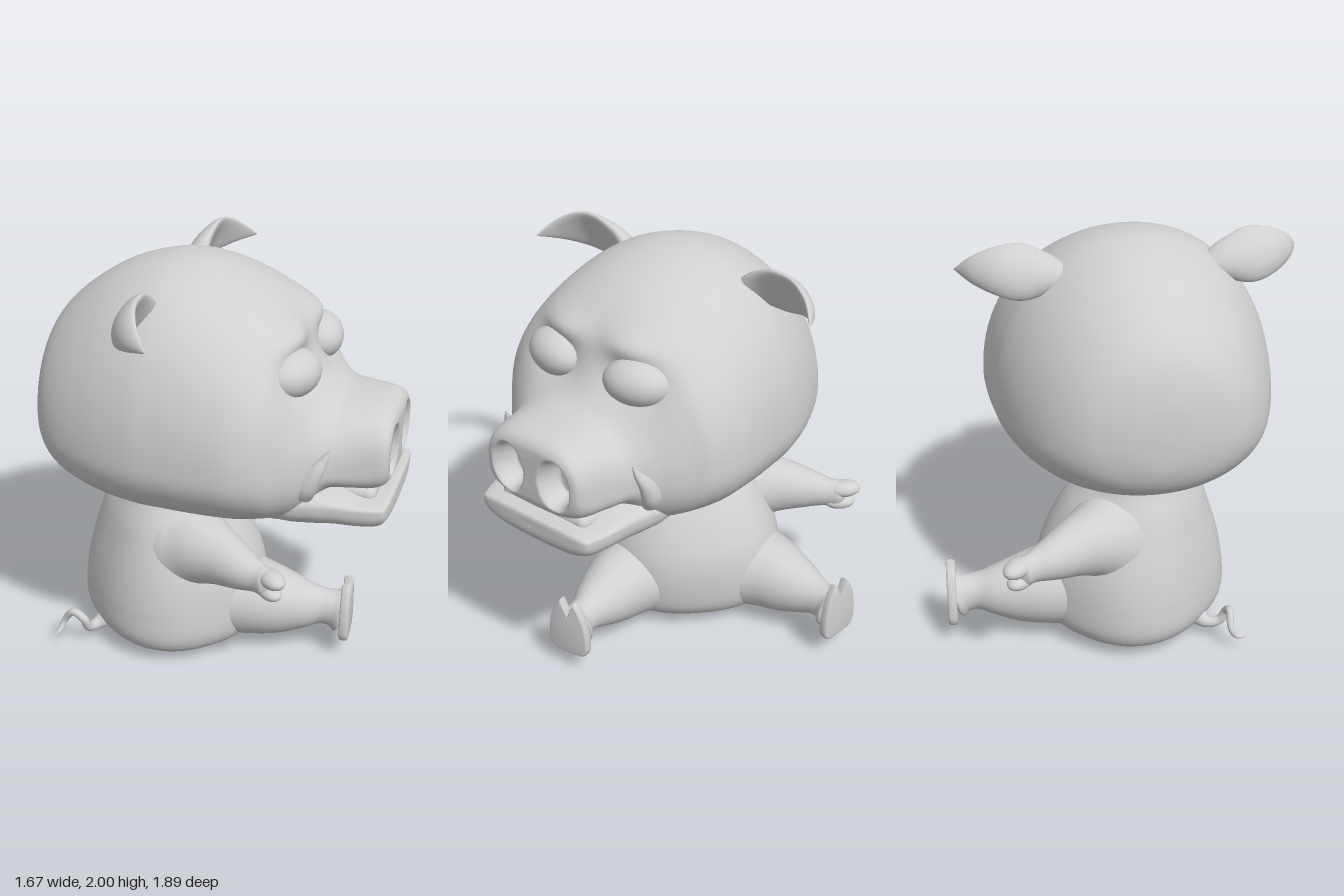
import * as THREE from 'three';
import { toCreasedNormals } from 'three/addons/utils/BufferGeometryUtils.js';
import { RoundedBoxGeometry } from 'three/addons/geometries/RoundedBoxGeometry.js';

const clay = new THREE.MeshStandardMaterial({ color: 0xd0d0d0 });
clay.name = 'light grey clay';

const add = (parent, name, geometry, x = 0, y = 0, z = 0) => {
  const mesh = new THREE.Mesh(geometry, clay);
  mesh.name = name;
  mesh.position.set(x, y, z);
  parent.add(mesh);
  return mesh;
};

// Smooth (Catmull-Rom) interpolation of a table of section rows
function sample(rows, t) {
  const n = rows.length - 1;
  const f = Math.min(Math.max(t, 0), 1) * n;
  const i = Math.min(Math.floor(f), n - 1), k = f - i;
  const [a, b, c, d] = [-1, 0, 1, 2].map((o) => rows[Math.min(Math.max(i + o, 0), n)]);
  return b.map((q, j) => q + 0.5 * k * (c[j] - a[j]
    + k * (2 * a[j] - 5 * q + 4 * c[j] - d[j] + k * (3 * (q - c[j]) + d[j] - a[j]))));
}

// Closed skin through rings; ring(row, angle, t) returns a Vector3
function skin(rows, ring, sides = 56, perRow = 8) {
  const steps = (rows.length - 1) * perRow, pos = [], index = [];
  for (let i = 0; i <= steps; i++) {
    const t = i / steps, row = sample(rows, t);
    for (let j = 0; j < sides; j++) pos.push(...ring(row, (j / sides) * Math.PI * 2, t).toArray());
  }
  for (let i = 0; i < steps; i++) {
    for (let j = 0; j < sides; j++) {
      const k = (j + 1) % sides, a = i * sides + j, b = i * sides + k;
      index.push(a, b, a + sides, b, b + sides, a + sides);
    }
  }
  // turn the faces outward if the enclosed volume comes out negative
  const p = (i) => new THREE.Vector3().fromArray(pos, i * 3);
  let volume = 0;
  for (let i = 0; i < index.length; i += 3) {
    volume += p(index[i]).dot(p(index[i + 1]).cross(p(index[i + 2])));
  }
  if (volume < 0) index.reverse();
  const g = new THREE.BufferGeometry();
  g.setAttribute('position', new THREE.Float32BufferAttribute(pos, 3));
  g.setIndex(index);
  g.computeVertexNormals();
  return g;
}

// Tapered sweep; rows are [x, y, z, radius along up, radius across]
function sweep(rows, up = new THREE.Vector3(0, 1, 0), cup = 0) {
  const at = (t) => new THREE.Vector3(...sample(rows, t).slice(0, 3));
  return skin(rows, (r, a, t) => {
    const T = at(t + 0.01).sub(at(t - 0.01)).normalize();
    const v = T.clone().cross(up).normalize(), u = v.clone().cross(T);
    const s = Math.sin(a), ru = Math.max(r[3], 0.001), rv = Math.max(r[4], 0.001);
    const q = new THREE.Vector3(r[0], r[1], r[2]).addScaledVector(u, ru * s).addScaledVector(v, rv * Math.cos(a));
    q.z += cup * ru * s * s;
    return q;
  }, 32, 8);
}

const power = (v, e) => Math.sign(v) * Math.abs(v) ** e;
const bump = (dx, dy) => Math.exp(-dx * dx - dy * dy);

// Front-to-back section; rows are [z, half width, top, widest y, bottom, squareness]
function jawRing([z, w, top, mid, bottom, p], a) {
  const c = Math.cos(a), s = Math.sin(a);
  const e = 2 / (s > 0 ? p : Math.max(p, 2.1));
  return new THREE.Vector3(w * power(c, e), mid + power(s, e) * (s > 0 ? top - mid : mid - bottom), z);
}

// Same section with brow ridges, eye sockets and sunken nostrils
function skullRing(row, a) {
  const q = jawRing(row, a), x = Math.abs(q.x);
  if (q.z > 0.3 && q.z < 0.9) {
    q.z += 0.045 * bump((x - 0.2) / 0.15, (q.y - 1.73) / 0.06) - 0.05 * bump((x - 0.22) / 0.14, (q.y - 1.57) / 0.08);
  }
  if (q.z > 1.07) {
    const d = Math.hypot((x - 0.136) / 0.095, (q.y - 1.215) / 0.132);
    q.z -= 0.11 * (1 - THREE.MathUtils.smoothstep(d, 0.62, 1));
  }
  return q;
}

// Horizontal torso section; rows are [y, back x, front x, half width]
const bodyRing = ([y, x0, x1, w], a) => new THREE.Vector3(
  (x0 + x1) / 2 + ((x1 - x0) / 2) * power(Math.cos(a), 0.85), y, w * power(Math.sin(a), 0.85));

function ellipsoid(parent, name, p, r, rot = [0, 0, 0]) {
  const m = add(parent, name, new THREE.SphereGeometry(1, 36, 24), ...p);
  m.scale.set(...r);
  m.rotation.set(...rot);
}

function buildHead() {
  const head = new THREE.Group();
  head.name = 'head';
  // skull, brow step and snout
  add(head, 'skull', skin([
    [-0.605, 0, 1.26, 1.26, 1.26, 2], [-0.592, 0.17, 1.45, 1.25, 1.1, 2],
    [-0.53, 0.36, 1.64, 1.23, 0.98, 1.95], [-0.4, 0.5, 1.79, 1.2, 0.9, 1.9],
    [-0.2, 0.6, 1.925, 1.2, 0.84, 1.95], [0, 0.655, 1.99, 1.2, 0.82, 2.05],
    [0.16, 0.67, 1.995, 1.2, 0.82, 2.1], [0.32, 0.675, 1.96, 1.2, 0.82, 2.1],
    [0.48, 0.665, 1.89, 1.2, 0.825, 2.1], [0.6, 0.62, 1.805, 1.2, 0.84, 2.15],
    [0.67, 0.56, 1.71, 1.19, 0.85, 2.2], [0.73, 0.505, 1.59, 1.18, 0.87, 2.2],
    [0.79, 0.44, 1.495, 1.17, 0.93, 2.3], [0.86, 0.375, 1.445, 1.16, 1.02, 2.4],
    [0.95, 0.332, 1.43, 1.16, 1.03, 2.7], [1.04, 0.302, 1.42, 1.17, 1.03, 2.9],
    [1.095, 0.283, 1.4, 1.19, 1.045, 2.9], [1.122, 0.25, 1.365, 1.215, 1.08, 2.8],
    [1.127, 0.16, 1.32, 1.215, 1.13, 2.6], [1.127, 0.08, 1.27, 1.215, 1.175, 2.3],
    [1.127, 0, 1.215, 1.215, 1.215, 2],
  ], skullRing, 96));
  // lower jaw and lip
  add(head, 'lowerJaw', skin([
    [0.3, 0, 0.95, 0.95, 0.95, 2], [0.52, 0.36, 1.0, 0.96, 0.85, 2.3],
    [0.68, 0.42, 1.06, 0.98, 0.842, 2.4], [0.8, 0.415, 1.085, 1.0, 0.845, 2.5],
    [0.9, 0.388, 1.062, 1.0, 0.85, 2.6], [1.0, 0.36, 1.03, 0.99, 0.85, 2.8],
    [1.09, 0.333, 1.02, 0.985, 0.86, 2.9], [1.13, 0.3, 1.015, 0.98, 0.9, 2.9],
    [1.142, 0.16, 1.0, 0.975, 0.93, 2.6], [1.142, 0, 0.97, 0.97, 0.97, 2],
  ], jawRing, 64));
  add(head, 'gum', new RoundedBoxGeometry(0.52, 0.1, 0.5, 4, 0.04), 0, 1.01, 0.82);

  for (const m of [-1, 1]) {
    ellipsoid(head, 'eye', [m * 0.242, 1.578, 0.668], [0.165, 0.108, 0.115], [0, m * 0.3, 0]);
    add(head, 'tusk', sweep([
      [m * 0.395, 1.07, 0.755, 0.062, 0.045], [m * 0.412, 1.12, 0.785, 0.056, 0.045],
      [m * 0.412, 1.19, 0.825, 0.038, 0.032], [m * 0.395, 1.25, 0.86, 0.02, 0.017],
      [m * 0.385, 1.305, 0.885, 0.001, 0.001],
    ], new THREE.Vector3(0, 0, 1)));
    // blade leaning forward at its upper edge
    add(head, 'ear', sweep([
      [m * 0.34, 1.82, 0.02, 0.06, 0.05], [m * 0.42, 1.85, 0.0, 0.095, 0.045],
      [m * 0.53, 1.865, -0.005, 0.128, 0.036], [m * 0.64, 1.875, 0.02, 0.108, 0.03],
      [m * 0.74, 1.865, 0.09, 0.062, 0.022], [m * 0.81, 1.84, 0.19, 0.003, 0.003],
    ], new THREE.Vector3(0, 0.9, 0.42), 0.2));
  }
  return head;
}

function buildBody() {
  const body = new THREE.Group();
  body.name = 'body';
  add(body, 'torso', skin([
    [0, -0.19, -0.19, 0], [0.012, -0.4, 0.04, 0.26], [0.05, -0.53, 0.18, 0.4],
    [0.13, -0.59, 0.26, 0.46], [0.27, -0.59, 0.285, 0.465], [0.42, -0.565, 0.275, 0.445],
    [0.56, -0.53, 0.225, 0.4], [0.7, -0.49, 0.15, 0.34], [0.82, -0.44, 0.06, 0.275],
    [0.95, -0.4, 0.0, 0.23], [0.97, -0.19, -0.19, 0],
  ], bodyRing));

  // split hoof outline
  const hoof = new THREE.Shape();
  hoof.moveTo(-0.06, -0.14);
  hoof.quadraticCurveTo(-0.105, -0.135, -0.105, -0.08);
  hoof.quadraticCurveTo(-0.105, 0.06, -0.04, 0.145);
  hoof.lineTo(0, 0.06);
  hoof.lineTo(0.04, 0.145);
  hoof.quadraticCurveTo(0.105, 0.06, 0.105, -0.08);
  hoof.quadraticCurveTo(0.105, -0.135, 0.06, -0.14);
  const hoofGeometry = toCreasedNormals(new THREE.ExtrudeGeometry(hoof, {
    depth: 0.015, bevelThickness: 0.015, bevelSize: 0.01, bevelSegments: 3, curveSegments: 12,
  }), 0.7);

  for (const m of [-1, 1]) {
    // limbs flare where they join the torso
    add(body, 'arm', sweep([
      [-0.2, 0.56, m * 0.2, 0.29, 0.26], [-0.185, 0.58, m * 0.29, 0.232, 0.215],
      [-0.17, 0.595, m * 0.37, 0.18, 0.172], [-0.14, 0.6, m * 0.47, 0.143, 0.135],
      [-0.1, 0.595, m * 0.6, 0.105, 0.098], [-0.06, 0.59, m * 0.7, 0.075, 0.065],
      [-0.04, 0.587, m * 0.765, 0.066, 0.058], [-0.035, 0.585, m * 0.8, 0.001, 0.001],
    ]));
    ellipsoid(body, 'upperHandToe', [-0.035, 0.62, m * 0.78], [0.056, 0.042, 0.085], [m * -0.02, 0, 0]);
    ellipsoid(body, 'lowerHandToe', [-0.035, 0.545, m * 0.76], [0.052, 0.038, 0.08], [m * 0.02, 0, 0]);
    add(body, 'leg', sweep([
      [-0.04, 0.26, m * 0.18, 0.22, 0.25], [0.06, 0.25, m * 0.3, 0.21, 0.225],
      [0.13, 0.245, m * 0.38, 0.192, 0.195], [0.21, 0.24, m * 0.455, 0.168, 0.163],
      [0.29, 0.24, m * 0.525, 0.13, 0.125], [0.36, 0.24, m * 0.58, 0.097, 0.087],
      [0.405, 0.236, m * 0.618, 0.095, 0.083], [0.442, 0.226, m * 0.645, 0.11, 0.1],
      [0.447, 0.226, m * 0.649, 0.001, 0.001],
    ]));
    add(body, 'hoof', hoofGeometry, 0.458, 0.245, m * 0.659).rotation.y = m > 0 ? 0.877 : Math.PI - 0.877;
  }
  // curly tail
  add(body, 'tail', sweep([
    [-0.52, 0.11, 0, 0.06, 0.06], [-0.6, 0.075, 0, 0.032, 0.032], [-0.66, 0.09, 0.03, 0.023, 0.023],
    [-0.69, 0.15, 0.04, 0.021, 0.021], [-0.73, 0.18, 0, 0.019, 0.019],
    [-0.76, 0.12, -0.04, 0.016, 0.016], [-0.79, 0.075, -0.03, 0.012, 0.012],
    [-0.83, 0.07, 0, 0.002, 0.002],
  ], new THREE.Vector3(0, 0, 1)));
  return body;
}

export function createModel() {
  const model = new THREE.Group();
  model.name = 'sitting boar';
  const head = buildHead(), body = buildBody();
  // the body faces +x, the head is turned halfway to the front
  head.position.set(-0.18, 0, -0.077);
  head.rotation.y = Math.PI / 4;
  body.position.z = -0.085;
  model.add(head, body);
  return model;
}
